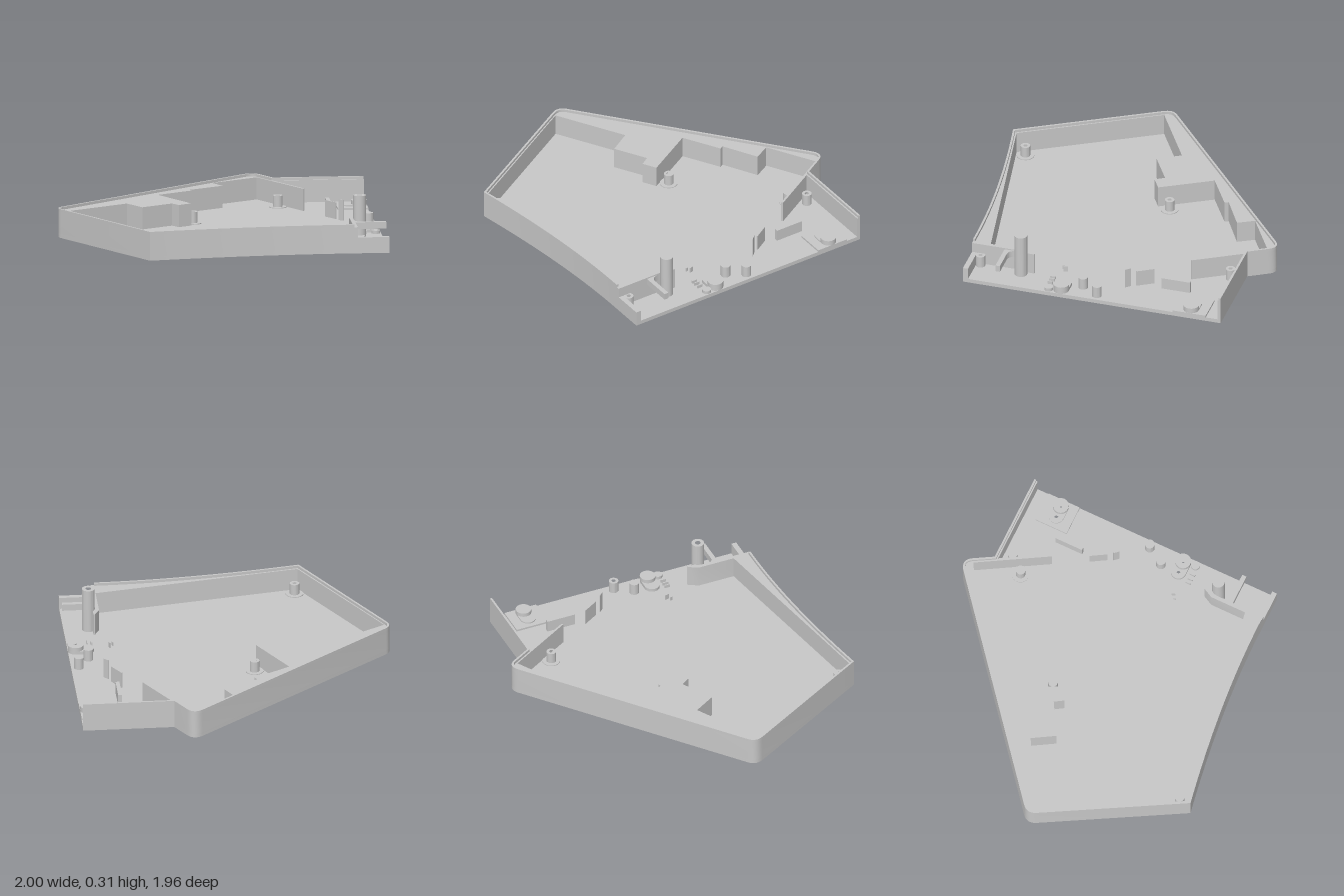
import * as THREE from 'three';
import { toCreasedNormals } from 'three/addons/utils/BufferGeometryUtils.js';

const grey = new THREE.MeshStandardMaterial({ color: 0xc7c7c7 });
grey.name = 'case grey';

const FLOOR = 0.025, LEDGE = 0.165, TOP = 0.182;

export function createModel() {
  const group = new THREE.Group();

  // Extrudes a plan outline of [x, z] points upward from y0 to y1; holes are [x, z, r]
  function slab(name, points, y0, y1, holes = []) {
    const shape = new THREE.Shape(points.map(([x, z]) => new THREE.Vector2(x, -z)));
    for (const [x, z, r] of holes) {
      const path = new THREE.Path();
      path.absarc(x, -z, r, 0, Math.PI * 2, true);
      shape.holes.push(path);
    }
    const geo = new THREE.ExtrudeGeometry(shape, { depth: y1 - y0, bevelEnabled: false, curveSegments: 14 });
    geo.rotateX(-Math.PI / 2);
    geo.translate(0, y0, 0);
    const mesh = new THREE.Mesh(toCreasedNormals(geo, 0.5), grey);
    mesh.name = name;
    group.add(mesh);
  }
  const rect = (x0, x1, z0, z1) => [[x0, z0], [x1, z0], [x1, z1], [x0, z1]];
  const arc = (x, z, r, from, to, n) => Array.from({ length: n + 1 }, (_, i) => {
    const a = from + (to - from) * i / n;
    return [x + Math.cos(a) * r, z + Math.sin(a) * r];
  });
  const disc = (x, z, r) => arc(x, z, r, 0, Math.PI * 2, 28).slice(0, -1);
  const capsule = (x0, x1, z, r) => [
    ...arc(x1, z, r, -Math.PI / 2, Math.PI / 2, 16),
    ...arc(x0, z, r, Math.PI / 2, Math.PI * 1.5, 16)
  ];
  // Thin upright strip between two plan points
  const strip = (name, [x0, z0], [x1, z1], w, y0, y1) => {
    const l = Math.hypot(x1 - x0, z1 - z0), a = -(z1 - z0) / l * w / 2, b = (x1 - x0) / l * w / 2;
    slab(name, [[x0 + a, z0 + b], [x1 + a, z1 + b], [x1 - a, z1 - b], [x0 - a, z0 - b]], y0, y1);
  };
  const bend = (a, c, b, n) => new THREE.QuadraticBezierCurve(
    new THREE.Vector2(...a), new THREE.Vector2(...c), new THREE.Vector2(...b)
  ).getPoints(n).map(p => [p.x, p.y]);

  // Outer outline, from the front edge round the left to the back edge
  const outer = [
    ...bend([0.78, 0.848], [0.2, 0.845], [-0.51, 0.979], 20),
    ...bend([-0.985, 0.145], [-1.015, 0.09], [-0.972, 0.053], 8),
    ...bend([0.265, -0.965], [0.325, -1.01], [0.362, -0.945], 8),
    [0.43, -0.828], [1, -0.828]
  ];
  // Offset of an open outline toward the inside
  function inset(pts, d) {
    const normal = (a, b) => {
      const l = Math.hypot(b[0] - a[0], b[1] - a[1]);
      return [-(b[1] - a[1]) / l, (b[0] - a[0]) / l];
    };
    return pts.map((p, i) => {
      const n0 = normal(pts[Math.max(i - 1, 0)], pts[Math.max(i, 1)]);
      const last = pts.length - 1;
      const n1 = normal(pts[Math.min(i, last - 1)], pts[Math.min(i + 1, last)]);
      const k = d / (1 + n0[0] * n1[0] + n0[1] * n1[1]);
      return [p[0] + (n0[0] + n1[0]) * k, p[1] + (n0[1] + n1[1]) * k];
    });
  }

  // Floor: lower layer has foot recesses, upper layer has dimples
  const plan = [...outer, [1, 0.848]];
  const screws = [-0.622, 0.223].flatMap(z => [[0.885, z, 0.014], [0.952, z, 0.014]]);
  const feet = [[0.447, -0.657], [-0.133, -0.153], [-0.477, 0.888], [0.62, 0.115]];
  const dimples = [[0.193, -0.37], [0.427, 0.035], [0.257, 0.197], [0.014, 0.397], [-0.243, 0.19], [-0.578, 0.338]];
  slab('floorLower', plan, 0, 0.01, [...screws, ...feet.map(([x, z]) => [x, z, 0.045])]);
  slab('floorUpper', plan, 0.01, FLOOR, [...screws, ...dimples.map(([x, z]) => [x, z, 0.022])]);

  // Wall body with the stepped inner side and the slanted inner partition
  const inner = [
    [0.78, 0.733], [-0.5, 0.953], [-0.968, 0.135], [-0.55, -0.107], [-0.466, 0.032], [-0.27, -0.082],
    [-0.233, -0.025], [-0.15, -0.073], [-0.328, -0.387], [-0.1, -0.52], [-0.113, -0.543],
    [0.102, -0.662], [0.047, -0.763], [0.342, -0.933], [0.592, -0.51], [0.602, -0.518],
    [0.435, -0.806], [1, -0.806]
  ];
  slab('wallBody', [...outer, ...inner.reverse()], FLOOR, LEDGE);
  slab('wallRim', [...outer, ...inset(outer, 0.013).reverse()], LEDGE, TOP);

  // Remaining pieces of the slanted partition
  strip('partitionPiece', [0.71, -0.308], [0.768, -0.212], 0.006, FLOOR, 0.13);
  strip('partitionPiece', [0.782, -0.178], [0.81, -0.148], 0.005, FLOOR, 0.155);

  // Front right corner: side wall, lowered front wall and filleted cross bar
  slab('cornerWall', [[0.78, 0.848], [0.78, 0.5], [0.812, 0.437], [0.82, 0.437], [0.82, 0.49],
    [0.803, 0.52], [0.803, 0.848]], FLOOR, LEDGE);
  slab('lowFrontWall', rect(0.803, 1, 0.815, 0.848), FLOOR, 0.1);
  slab('crossBar', [[1, 0.608], [1, 0.637], [0.803, 0.637], ...bend([0.803, 0.55], [0.806, 0.607], [0.85, 0.608], 8)],
    0.115, 0.157);

  // Screw posts with bored centres
  const posts = [...feet.slice(0, 3), [0.523, -0.748], [0.952, -0.008], [0.883, 0.102], [0.823, 0.787]];
  for (const [x, z] of posts) slab('screwPost', disc(x, z, 0.03), FLOOR, 0.1, [[x, z, 0.013]]);
  for (const [x, z] of feet.slice(0, 3)) slab('postBase', disc(x, z, 0.055), FLOOR, 0.03);
  slab('tallPost', disc(0.845, 0.518, 0.04), FLOOR, 0.308, [[0.845, 0.518, 0.018]]);

  // Slotted mounts beside the open edge
  const [backHoles, frontHoles] = [screws.slice(0, 2), screws.slice(2)];
  slab('mountPad', rect(0.81, 1, -0.73, -0.515), FLOOR, 0.037, backHoles);
  for (const holes of [backHoles, frontHoles]) {
    const z = holes[0][1];
    slab('slotMount', capsule(0.885, 0.952, z, 0.048), FLOOR, 0.045, holes);
    slab('mountBoss', disc(0.951, z, 0.049), 0.045, 0.07, [holes[1]]);
  }
  slab('smallBoss', disc(0.967, 0.3, 0.028), FLOOR, 0.045);

  // Upright tab and small ribs
  slab('uprightTab', rect(0.732, 0.756, -0.555, -0.37), FLOOR, 0.1);
  strip('smallRib', [0.732, 0.247], [0.74, 0.272], 0.006, FLOOR, 0.06);
  strip('smallRib', [0.712, 0.272], [0.717, 0.287], 0.006, FLOOR, 0.05);
  for (const x of [0.845, 0.872, 0.905]) strip('smallRib', [x, 0.292], [x, 0.327], 0.008, FLOOR, 0.045);

  return group;
}
